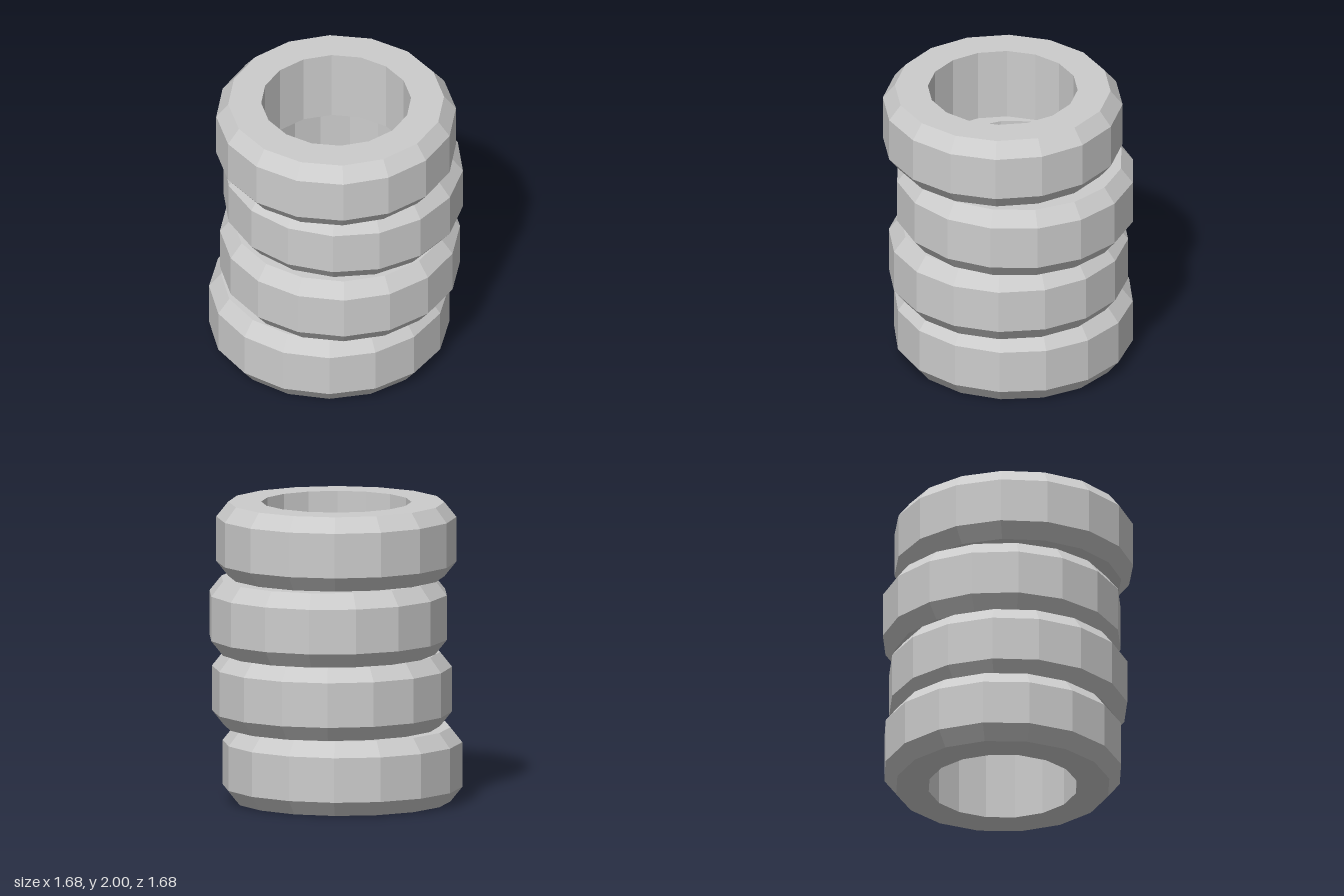
import * as THREE from 'three';

const SIDES = 16;
const HEIGHT = 0.5;
const STEP = (Math.PI * 2) / SIDES;

// Closed cross-section of one tyre: [radius, height], with chamfered shoulders
const PROFILE = [
  [0.5, 0], [0.72, 0], [0.8, 0.1], [0.8, 0.4], [0.72, 0.5], [0.5, 0.5], [0.5, 0],
].map(([r, y]) => new THREE.Vector2(r, y));

// Offset and turn of each tyre, from the ground up
const TYRES = [
  { name: 'bottomTyre', x: -0.05, z: -0.005, turn: STEP / 2 - 0.058 },
  { name: 'lowerMiddleTyre', x: 0.025, z: 0.01, turn: STEP / 2 - 0.025 },
  { name: 'upperMiddleTyre', x: 0.04, z: -0.04, turn: 0.05 },
  { name: 'topTyre', x: 0.005, z: 0.055, turn: STEP / 2 },
];

export function createModel() {
  const group = new THREE.Group();
  group.name = 'tyreStack';

  const rubber = new THREE.MeshStandardMaterial({ color: 0xcccccc, flatShading: true });
  rubber.name = 'grey rubber';

  // Faceted ring shared by all tyres
  const ring = new THREE.LatheGeometry(PROFILE, SIDES).toNonIndexed();
  ring.computeVertexNormals();

  TYRES.forEach(({ name, x, z, turn }, i) => {
    const tyre = new THREE.Mesh(ring, rubber);
    tyre.name = name;
    tyre.position.set(x, i * HEIGHT, z);
    tyre.rotation.y = turn;
    group.add(tyre);
  });

  return group;
}
